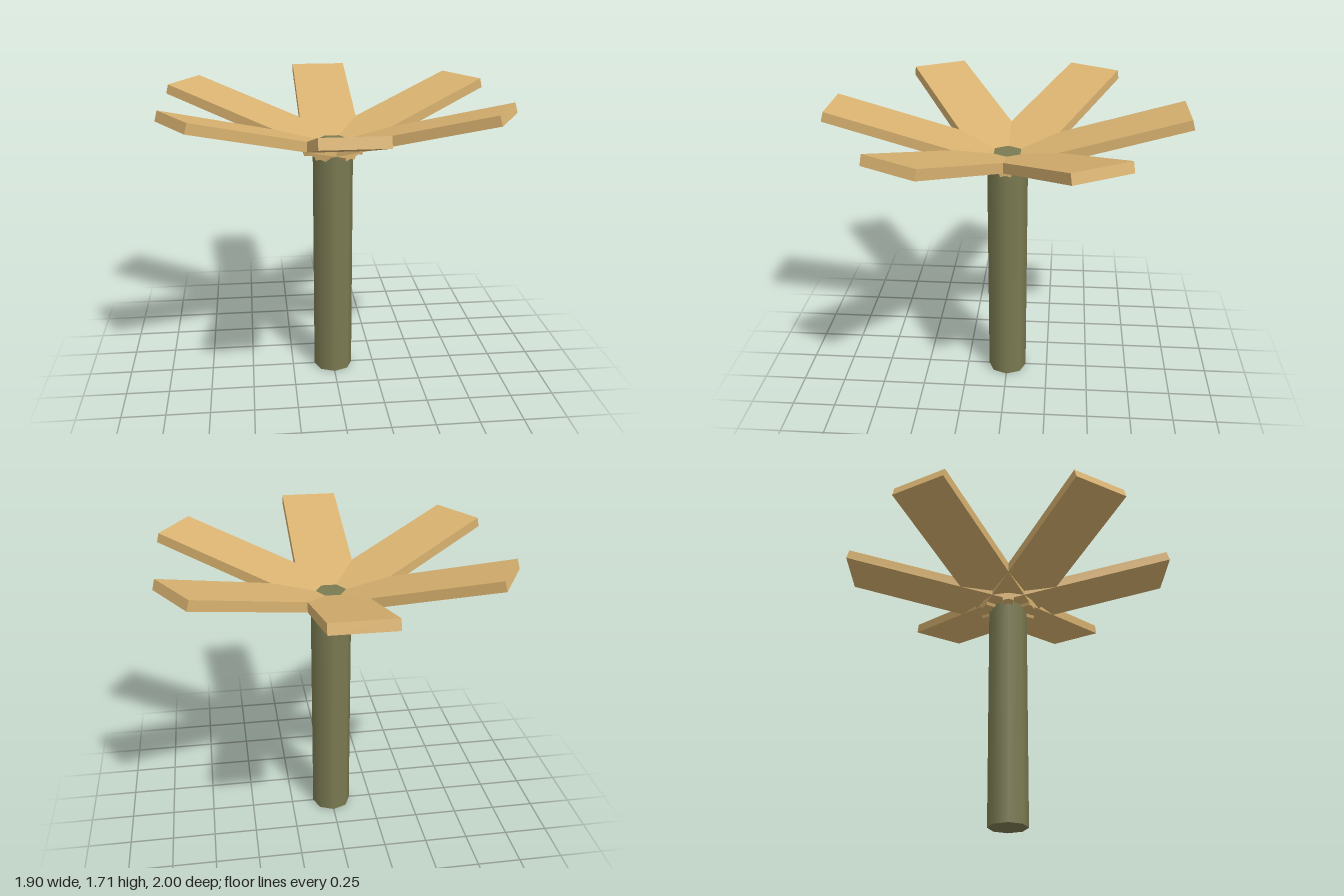
import * as THREE from 'three';

export function createModel() {
  const model = new THREE.Group();
  model.name = 'palmTree';

  const bark = new THREE.MeshStandardMaterial({ color: 0x7a7a52 });
  bark.name = 'olive bark';
  const leaf = new THREE.MeshStandardMaterial({ color: 0xd9b270 });
  leaf.name = 'sandy leaf';

  // Trunk: smooth eight-sided post whose top just shows between the leaves
  const trunkHeight = 1.447;
  const trunk = new THREE.Mesh(
    new THREE.CylinderGeometry(0.116, 0.116, trunkHeight, 8), bark);
  trunk.name = 'trunk';
  trunk.position.y = trunkHeight / 2;
  model.add(trunk);

  // Crown: six flat planks rising outwards, one every 60 degrees
  const crown = new THREE.Group();
  crown.name = 'crown';
  const plank = new THREE.BoxGeometry(0.336, 0.057, 1.072);
  plank.rotateX(-0.28);
  plank.translate(0, 1.533, 0.477);
  for (let i = 0; i < 6; i++) {
    const mesh = new THREE.Mesh(plank, leaf);
    mesh.name = `leaf${i + 1}`;
    mesh.rotation.y = (i * Math.PI) / 3;
    crown.add(mesh);
  }
  model.add(crown);

  return model;
}
